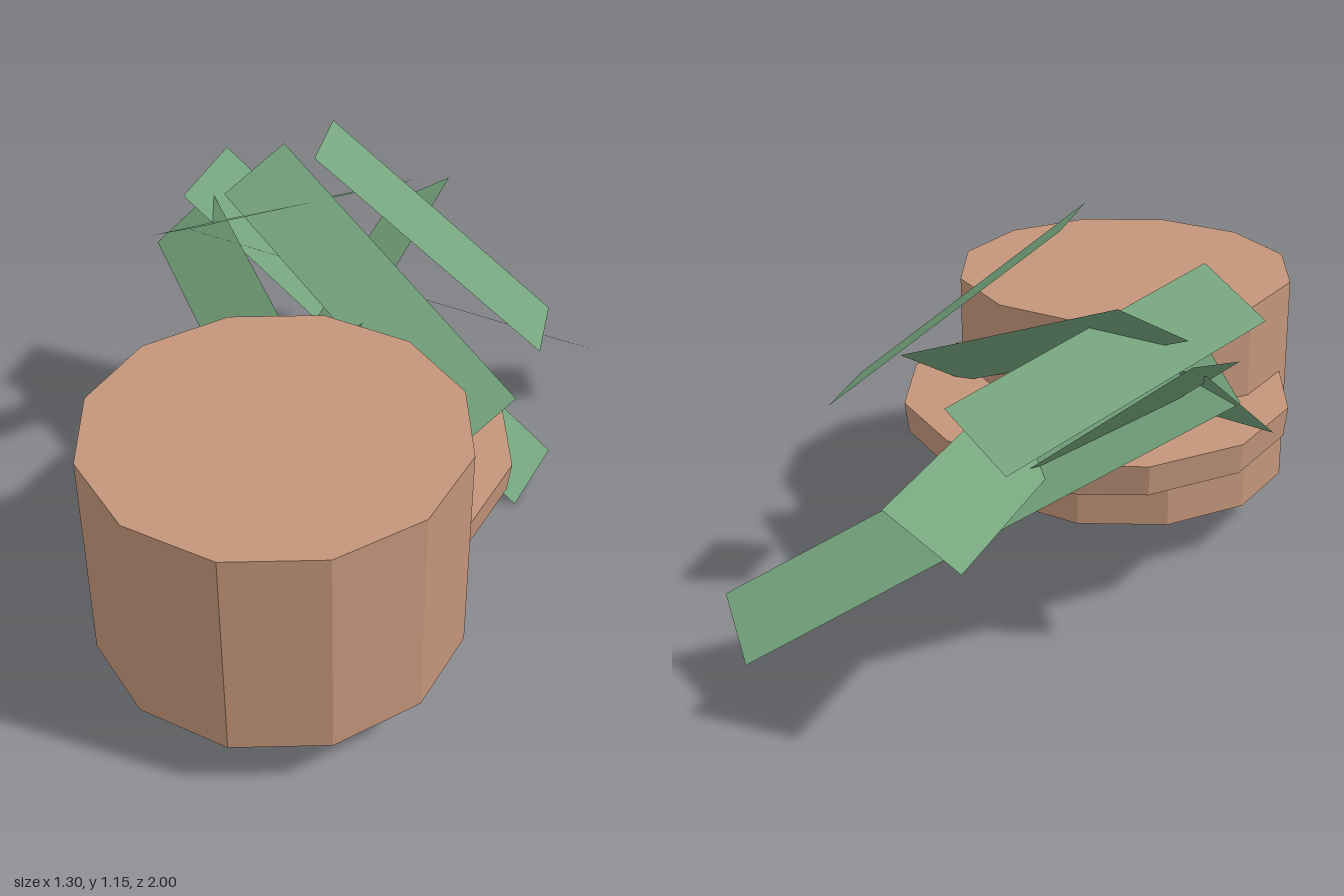
import * as THREE from 'three';

// Flat rectangular blade from one corner and its two edge vectors
function bladeGeometry(corner, along, across) {
  const o = new THREE.Vector3(...corner);
  const u = new THREE.Vector3(...along);
  const v = new THREE.Vector3(...across);
  const points = [o, o.clone().add(u), o.clone().add(u).add(v), o.clone().add(v)];
  const geometry = new THREE.BufferGeometry().setFromPoints(points);
  geometry.setIndex([0, 1, 2, 0, 2, 3]);
  geometry.computeVertexNormals();
  return geometry;
}

export function createModel() {
  const group = new THREE.Group();
  const clay = new THREE.MeshStandardMaterial({ color: 0xc3957a, flatShading: true });
  clay.name = 'clay';
  const leafGreen = new THREE.MeshStandardMaterial({ color: 0x75a47d, flatShading: true, side: THREE.DoubleSide });
  leafGreen.name = 'leaf green';

  // Twelve-sided pot and the wider disc that cuts through it
  function drum(name, topRadius, bottomRadius, bottom, top, z) {
    const mesh = new THREE.Mesh(new THREE.CylinderGeometry(topRadius, bottomRadius, top - bottom, 12), clay);
    mesh.name = name;
    mesh.position.set(-0.053, (top + bottom) / 2, z);
    group.add(mesh);
  }
  drum('pot', 0.494, 0.494, 0.153, 0.765, 0.503);
  drum('saucer', 0.553, 0.543, 0.417, 0.503, 0.198);

  // Leaves: corner, long edge, short edge
  const leaves = new THREE.Group();
  leaves.name = 'leaves';
  const blades = [
    [[-0.115, 1.148, -0.15], [0.63, -0.53, -0.015], [-0.005, -0.005, -0.228]],
    [[-0.29, 0.997, -0.48], [0.77, -0.4, 0.515], [-0.144, -0.112, 0.131]],
    [[0.11, 0.66, -0.985], [-0.117, 0.039, 1.32], [-0.19, -0.125, -0.015]],
    [[0.65, 0.23, -0.755], [-1.09, 0.605, 0.55], [-0.13, -0.09, -0.16]],
    [[-0.4, 0.975, -0.02], [0.46, -0.178, -0.695], [-0.18, -0.108, -0.09]],
    [[0.475, 0, -0.23], [-1.038, 0.853, -0.135], [0.071, 0.057, -0.21]],
    [[-0.655, 0.68, -0.37], [0.595, -0.26, 0.762], [0.155, 0.155, -0.068]],
  ];
  blades.forEach((blade, i) => {
    const leaf = new THREE.Mesh(bladeGeometry(...blade), leafGreen);
    leaf.name = `leaf${i + 1}`;
    leaves.add(leaf);
  });
  group.add(leaves);
  return group;
}
